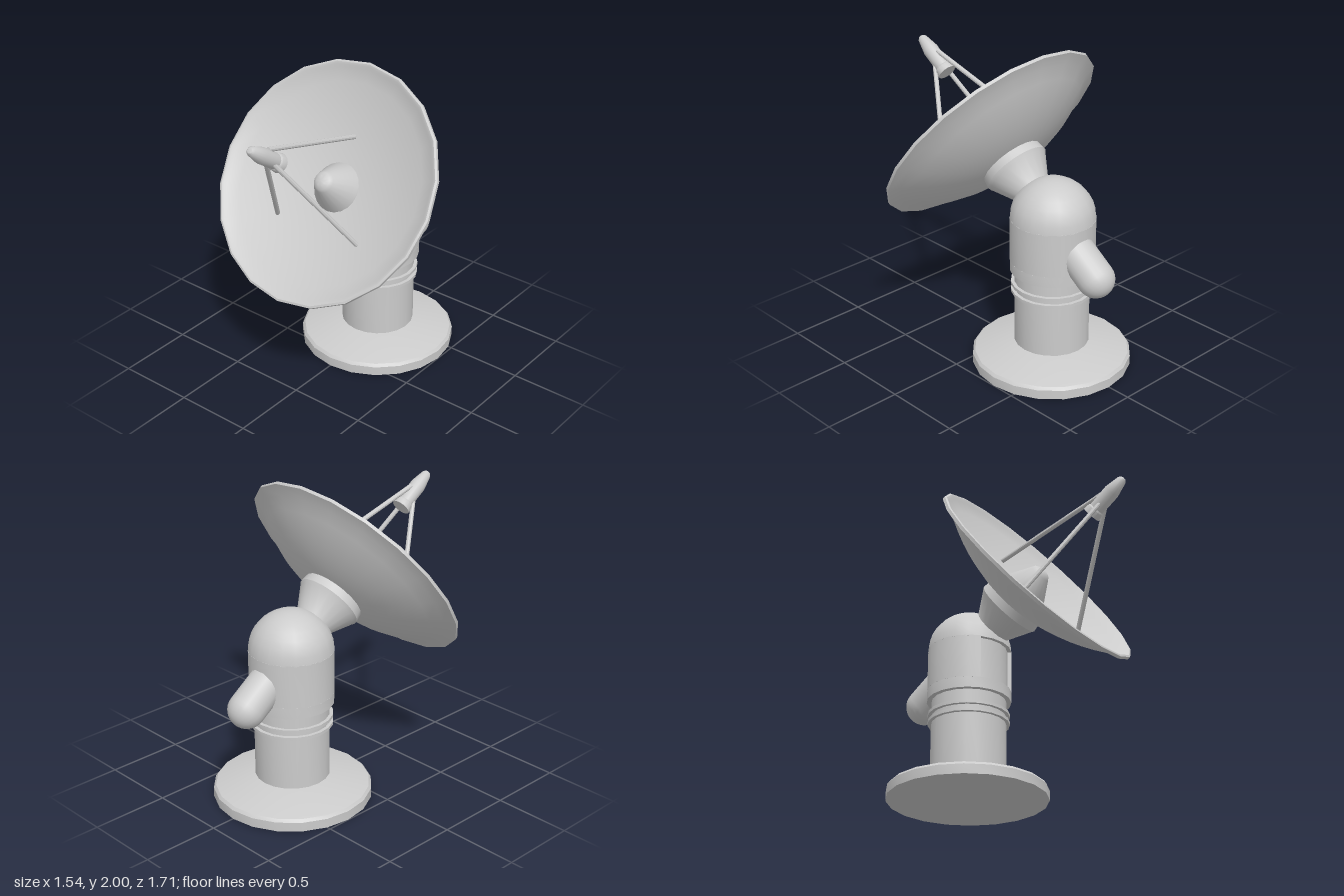
import * as THREE from 'three';
import { toCreasedNormals } from 'three/addons/utils/BufferGeometryUtils.js';

const SIDES = 20;
const TILT = 0.945;      // from straight up towards the front
const MAST_Z = -0.345;
const material = new THREE.MeshStandardMaterial({ color: 0xcccccc });

function add(parent, name, geometry) {
  const mesh = new THREE.Mesh(toCreasedNormals(geometry, 0.6), material);
  mesh.name = name;
  parent.add(mesh);
  return mesh;
}

// Turned part; profile is [radius, height] from bottom to top
function turned(parent, name, profile, sides = SIDES) {
  return add(parent, name, new THREE.LatheGeometry(profile.map(([r, y]) => new THREE.Vector2(r, y)), sides));
}

function rod(parent, name, from, to, radius) {
  const a = new THREE.Vector3(...from), b = new THREE.Vector3(...to);
  const mesh = add(parent, name, new THREE.CylinderGeometry(radius, radius, a.distanceTo(b), 10));
  mesh.position.copy(a).add(b).multiplyScalar(0.5);
  mesh.quaternion.setFromUnitVectors(new THREE.Vector3(0, 1, 0), b.sub(a).normalize());
  return mesh;
}

// Ring-shaped wall with a gap in the front
function gappedWall(outer, inner, gap, height) {
  const points = [], n = 18;
  const arc = (r, a0, a1) => {
    for (let i = 0; i <= n; i++) {
      const a = a0 + (a1 - a0) * i / n;
      points.push(new THREE.Vector2(r * Math.sin(a), -r * Math.cos(a)));
    }
  };
  arc(outer, gap, 2 * Math.PI - gap);
  arc(inner, 2 * Math.PI - gap, gap);
  const geometry = new THREE.ExtrudeGeometry(new THREE.Shape(points), { depth: height, bevelEnabled: false });
  return geometry.rotateX(-Math.PI / 2);
}

export function createModel() {
  const model = new THREE.Group();
  model.name = 'dishAntenna';

  // Mast: foot, column, collar rings and slotted head
  const mast = new THREE.Group();
  mast.name = 'mast';
  mast.position.z = MAST_Z;
  model.add(mast);
  turned(mast, 'foot', [[0, 0], [0.5, 0], [0.5, 0.06], [0.485, 0.078], [0.235, 0.145], [0, 0.145]]);
  turned(mast, 'column', [[0.235, 0.14], [0.235, 0.66]]);
  for (const y of [0.49, 0.54]) {
    turned(mast, 'collarRing', [[0.2, y], [0.257, y], [0.257, y + 0.02], [0.2, y + 0.02]]);
  }
  turned(mast, 'headSill', [[0, 0.64], [0.265, 0.64], [0.265, 0.71], [0, 0.71]]);
  turned(mast, 'headCore', [[0.24, 0.7], [0.24, 1]]);
  add(mast, 'headWall', gappedWall(0.265, 0.235, 0.63, 0.28)).position.y = 0.71;
  const dome = [[0, 0.985], [0.265, 0.985]];
  for (let i = 1; i <= 8; i++) {
    const a = i / 8 * Math.PI / 2;
    dome.push([0.265 * Math.cos(a), 0.985 + 0.257 * Math.sin(a)]);
  }
  turned(mast, 'dome', dome);

  // Round-ended counterweight behind the head
  const weight = [];
  for (let i = 0; i <= 8; i++) {
    const a = i / 8 * Math.PI / 2;
    weight.push([0.118 * Math.sin(a), -0.118 * Math.cos(a)]);
  }
  weight.push([0.118, 0.36], [0, 0.36]);
  const counterweight = turned(model, 'counterweight', weight);
  counterweight.position.set(0, 0.703, -0.71);
  counterweight.rotation.x = TILT;

  // Tilted dish; its local y is the pointing axis, y = 0 is the rim plane
  const dish = new THREE.Group();
  dish.name = 'dish';
  dish.position.set(0, 1.377, 0.21);
  dish.rotation.x = TILT;
  model.add(dish);
  const R = 0.768, bowl = [];
  for (let i = 0; i < 10; i++) bowl.push([R * i / 10, -0.26 * (1 - (i / 10) ** 2)]);
  bowl.push([R, -0.025], [R, -0.005], [0.755, 0], [0.74, -0.005]);
  for (let i = 9; i >= 0; i--) bowl.push([0.725 * i / 9, -0.162 * (1 - (0.725 * i / 9 / R) ** 2)]);
  turned(dish, 'bowl', bowl);

  // Neck joining the bowl to the head
  turned(dish, 'neck', [[0, -0.6], [0.115, -0.6], [0.12, -0.46], [0.2, -0.315], [0.213, -0.295], [0.2, -0.2]]);

  // Rounded cone in the middle of the bowl
  turned(dish, 'centreCone', [[0.16, -0.17], [0.155, -0.147], [0.068, 0], [0.055, 0.02], [0.03, 0.032], [0, 0.036]]);

  // Feed at the focus, with its three struts
  turned(dish, 'feed', [[0, 0.49], [0.06, 0.49], [0.055, 0.53], [0.048, 0.54], [0.05, 0.68],
    [0.03, 0.775], [0.018, 0.79], [0, 0.794]], 16);
  for (const side of [1, -1]) {
    rod(model, 'lowerStrut', [0.025 * side, 1.71, 0.695], [0.313 * side, 1.08, 0.277], 0.015);
  }
  rod(model, 'upperStrut', [0, 1.785, 0.695], [0, 1.562, -0.09], 0.015);

  return model;
}
